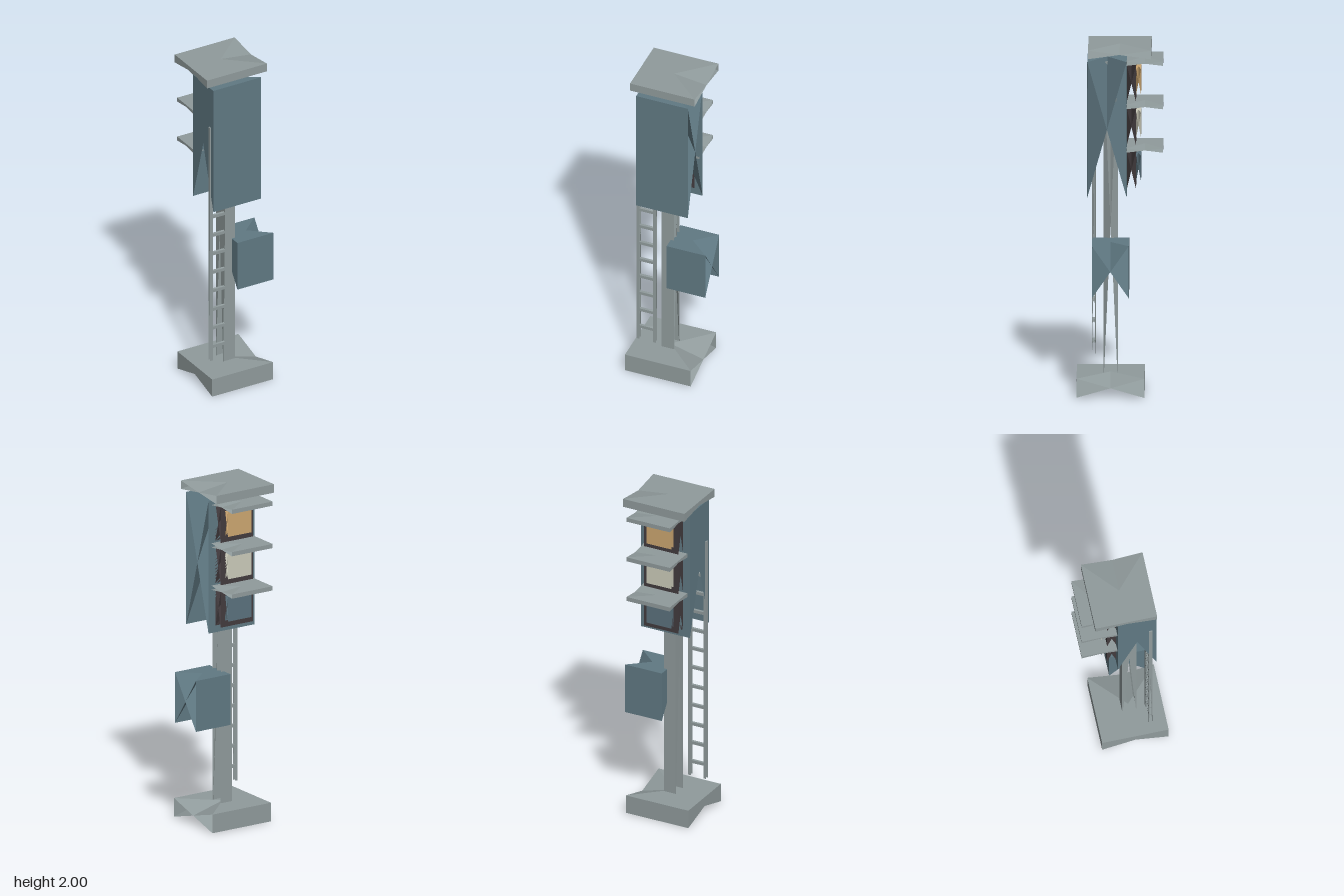
import * as THREE from 'three';

const mat = (name, color) => new THREE.MeshStandardMaterial({ name, color, side: THREE.DoubleSide });

// Folded open box: full front and back plates, no floor. The top and the -x side
// are two crossing triangles each; two slanted triangles cross at the +x end.
function foldedBox(x0, x1, y0, y1, z0, z1) {
  const pos = [];
  const tri = (...corners) => corners.forEach(([x, y, z]) =>
    pos.push(x > 0 ? x1 : x0, y > 0 ? y1 : y0, z > 0 ? z1 : z0));
  const tlB = [-1, 1, -1], tlF = [-1, 1, 1], trB = [1, 1, -1], trF = [1, 1, 1];
  const blB = [-1, -1, -1], blF = [-1, -1, 1], brB = [1, -1, -1], brF = [1, -1, 1];
  // front and back plates
  tri(blF, brF, trF);
  tri(blF, trF, tlF);
  tri(brB, blB, tlB);
  tri(brB, tlB, trB);
  // top
  tri(tlB, tlF, trB);
  tri(tlB, tlF, trF);
  // -x side
  tri(tlB, blB, tlF);
  tri(tlB, blF, tlF);
  // +x end
  tri(brF, trB, tlF);
  tri(brB, tlB, trF);
  const g = new THREE.BufferGeometry();
  g.setAttribute('position', new THREE.Float32BufferAttribute(pos, 3));
  g.computeVertexNormals();
  return g;
}

export function createModel() {
  const model = new THREE.Group();
  model.name = 'signalPost';

  const grey = mat('concrete grey', 0x909b9c);
  const teal = mat('slate teal', 0x607983);
  const dark = mat('dark frame', 0x423b3e);
  const amber = mat('amber lens', 0xcca670);
  const cream = mat('cream lens', 0xcbcbba);
  const blue = mat('dim lens', 0x5b727d);

  const add = (parent, name, material, ...box) => {
    const mesh = new THREE.Mesh(foldedBox(...box), material);
    mesh.name = name;
    parent.add(mesh);
  };

  // Main structure
  add(model, 'base', grey, -0.228, 0.172, 0, 0.11, -0.14, 0.243);
  add(model, 'post', grey, -0.065, 0.01, 0.02, 1.9, 0.01, 0.093);
  add(model, 'signalHousing', teal, -0.184, 0.13, 1.145, 1.925, -0.04, 0.182);
  add(model, 'roof', grey, -0.223, 0.17, 1.95, 2, -0.178, 0.178);
  add(model, 'controlCabinet', teal, -0.01, 0.225, 0.585, 0.885, -0.053, 0.155);

  // Three lamps on the back, each with frame, lens and hood
  [amber, cream, blue].forEach((lens, i) => {
    const lamp = new THREE.Group();
    lamp.name = 'lamp' + (i + 1);
    lamp.position.set(-0.028, 1.795 - i * 0.25, 0);
    add(lamp, 'frame', dark, -0.11, 0.11, -0.11, 0.105, -0.092, -0.04);
    add(lamp, 'lens', lens, -0.08, 0.08, -0.073, 0.073, -0.12, -0.092);
    add(lamp, 'hood', grey, -0.139, 0.139, 0.105, 0.13, -0.245, -0.04);
    model.add(lamp);
  });

  // Ladder
  const ladder = new THREE.Group();
  ladder.name = 'ladder';
  for (const x of [-0.182, -0.083]) {
    add(ladder, 'rail', grey, x - 0.009, x + 0.009, 0.178, 1.675, 0.138, 0.158);
  }
  for (let i = 0; i < 12; i++) {
    const y = 0.265 + i * 0.119;
    add(ladder, 'rung', grey, -0.175, -0.09, y - 0.009, y + 0.009, 0.14, 0.156);
  }
  model.add(ladder);

  return model;
}
